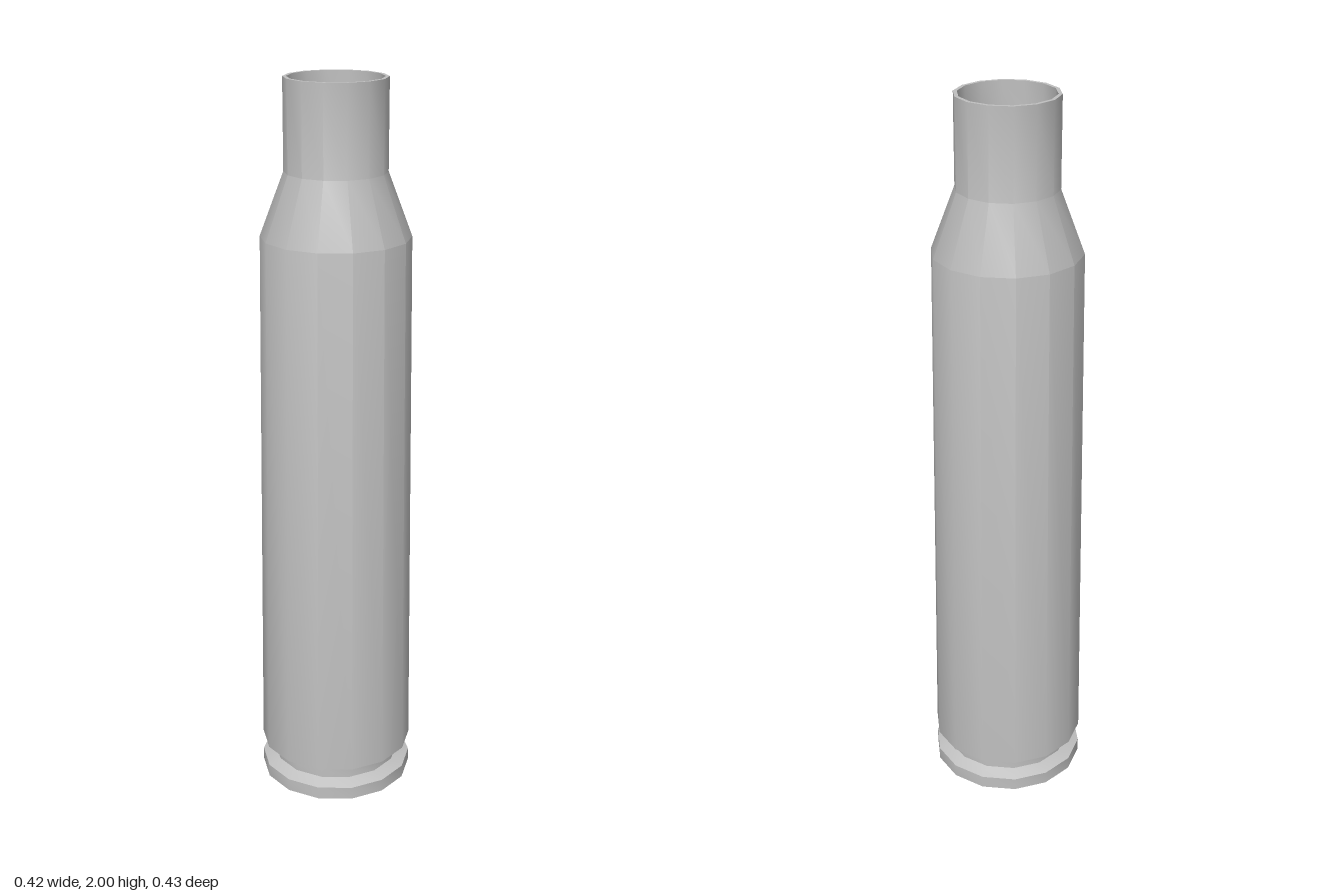
import * as THREE from 'three';
import { toCreasedNormals } from 'three/addons/utils/BufferGeometryUtils.js';

const SIDES = 14;

export function createModel() {
  const group = new THREE.Group();
  const metal = new THREE.MeshStandardMaterial({ color: 0xc0c0c0 });
  metal.name = 'grey metal';

  // Turned part: [radius, height] points, smooth around, sharp at hard edges
  function turned(name, profile) {
    const points = profile.map(([r, y]) => new THREE.Vector2(r, y));
    const geometry = toCreasedNormals(new THREE.LatheGeometry(points, SIDES), 0.5);
    const mesh = new THREE.Mesh(geometry, metal);
    mesh.name = name;
    group.add(mesh);
  }

  // Flat base, rim and extractor groove
  turned('rim', [[0, 0], [0.215, 0], [0.215, 0.036], [0.18, 0.05]]);
  turned('extractorGroove', [[0.18, 0.05], [0.18, 0.075], [0.215, 0.097]]);

  // Tapered body, sloping shoulder and straight neck
  turned('caseBody', [[0.215, 0.097], [0.2, 1.59], [0.136, 1.76], [0.136, 2]]);

  // Lip, inner wall and shallow floor of the mouth
  turned('mouth', [[0.136, 2], [0.126, 2], [0.126, 1.91], [0, 1.91]]);

  return group;
}
